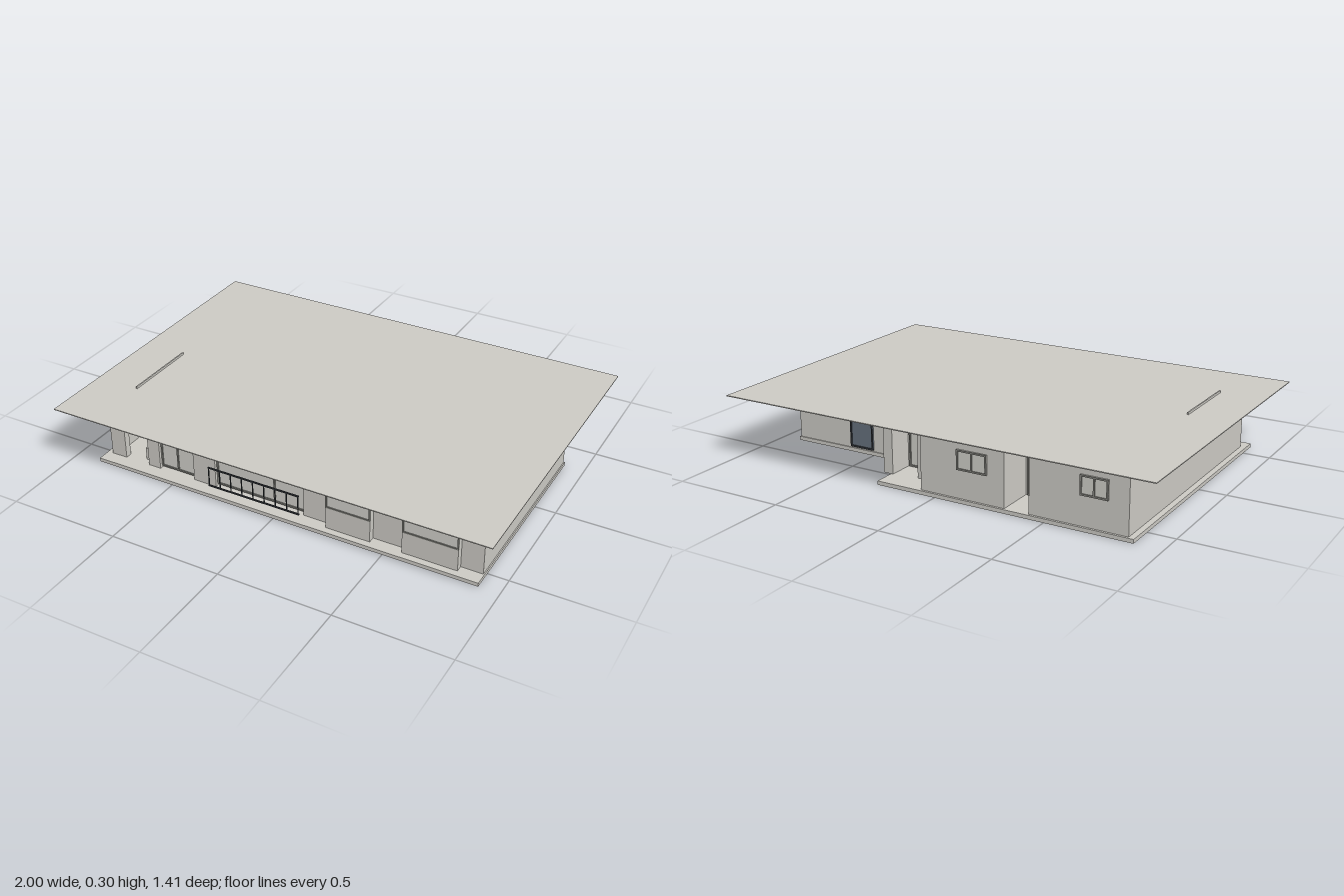
import * as THREE from 'three';

const mat = (name, color) => {
  const m = new THREE.MeshStandardMaterial({ color });
  m.name = name;
  return m;
};

export function createModel() {
  const plaster = mat('plaster', 0xcccac4);
  const pane = mat('pane', 0xd0cfc9);
  const frameGrey = mat('frame grey', 0x85857f);
  const darkGlass = mat('dark glass', 0x66707c);
  const darkMetal = mat('dark metal', 0x34383d);

  const house = new THREE.Group();
  house.name = 'house';
  const FLOOR = 0.017, TOP = 0.29;

  // Box given by its limits on each axis
  function block(name, m, x0, x1, y0, y1, z0, z1, parent = house) {
    const mesh = new THREE.Mesh(new THREE.BoxGeometry(x1 - x0, y1 - y0, z1 - z0), m);
    mesh.position.set((x0 + x1) / 2, (y0 + y1) / 2, (z0 + z1) / 2);
    mesh.name = name;
    parent.add(mesh);
  }
  const wall = (name, x0, x1, z0, z1, y0 = FLOOR, y1 = TOP) =>
    block(name, plaster, x0, x1, y0, y1, z0, z1);

  // Glazed panel facing along z, with a frame and optional mullions
  function glazing(name, x0, x1, y0, y1, z, dir, glassMat, frameMat, mullions = [], t = 0.007) {
    const g = new THREE.Group();
    g.name = name;
    house.add(g);
    const layer = (n, m, a, b, c, d, depth) =>
      block(n, m, a, b, c, d, Math.min(z, z + dir * depth), Math.max(z, z + dir * depth), g);
    layer('glass', glassMat, x0, x1, y0, y1, 0.004);
    layer('sill', frameMat, x0, x1, y0, y0 + t, 0.009);
    layer('head', frameMat, x0, x1, y1 - t, y1, 0.009);
    for (const x of [x0, x1 - t, ...mullions.map((u) => u - t / 2)])
      layer('upright', frameMat, x, x + t, y0, y1, 0.009);
  }

  // Floor slab with a notch at the back left corner (shape y = -z)
  const outline = [[-0.88, -0.59], [0.91, -0.59], [0.91, 0.35], [0.28, 0.35], [0.28, 0.62], [-0.88, 0.62]];
  const slabGeo = new THREE.ExtrudeGeometry(
    new THREE.Shape(outline.map(([x, y]) => new THREE.Vector2(x, y))),
    { depth: FLOOR, bevelEnabled: false });
  slabGeo.rotateX(-Math.PI / 2);
  const slab = new THREE.Mesh(slabGeo, plaster);
  slab.name = 'floorSlab';
  house.add(slab);

  // Flat roof with a narrow upstand
  block('roof', plaster, -1, 1, 0.289, 0.293, -0.705, 0.705);
  block('roofUpstand', plaster, -0.798, -0.792, 0.29, 0.303, 0.05, 0.4);

  // Side walls
  wall('leftSideWall', 0.88, 0.905, -0.345, 0.53);
  wall('rightSideWall', -0.855, -0.83, -0.61, 0.53);

  // Front wall piers between the openings
  for (const [x0, x1] of [[-0.83, -0.78], [-0.66, -0.6], [-0.425, -0.315], [0.11, 0.23], [0.43, 0.57], [0.81, 0.88]])
    wall('frontPier', x0, x1, 0.5, 0.53);

  // Shallow window bays: panel below, glass above
  for (const [x0, x1] of [[0.23, 0.43], [0.57, 0.81]]) {
    wall('bayPanel', x0, x1, 0.5, 0.56, FLOOR, 0.115);
    wall('bayHead', x0, x1, 0.5, 0.56, 0.28, TOP);
    block('bayGlassBox', pane, x0, x1, 0.115, 0.28, 0.5, 0.552);
    glazing('bayWindow', x0, x1, 0.115, 0.28, 0.552, 1, pane, frameGrey, [], 0.006);
  }

  // Living room glazing and double door
  for (const [name, x0, x1, mid] of [['livingWindow', -0.315, 0.11, [-0.035]], ['frontDoubleDoor', -0.6, -0.425, [-0.515]]]) {
    glazing(name, x0, x1, 0.024, 0.28, 0.508, 1, pane, frameGrey, mid);
    wall('openingHead', x0, x1, 0.5, 0.53, 0.28, TOP);
  }

  // Recessed front porch
  wall('porchBackWall', -0.83, -0.62, 0.28, 0.3);
  wall('porchSideWall', -0.66, -0.64, 0.3, 0.5);
  wall('porchPlinth', -0.695, -0.66, 0.44, 0.5, FLOOR, 0.075);
  glazing('porchWindow', -0.8, -0.7, 0.08, 0.26, 0.3, 1, pane, frameGrey);

  // Balcony railing
  const railing = new THREE.Group();
  railing.name = 'railing';
  house.add(railing);
  for (const y of [0.05, 0.138])
    block('rail', darkMetal, -0.32, 0.115, y - 0.003, y + 0.003, 0.571, 0.577, railing);
  for (let i = 0; i < 9; i++) {
    const x = -0.317 + i * 0.0535;
    block('post', darkMetal, x - 0.002, x + 0.002, 0.05, 0.138, 0.572, 0.576, railing);
  }

  // Back walls, stepping around the entrance
  const back = [
    [0.35, 0.88, -0.345, -0.32],
    [0.27, 0.355, -0.39, -0.32],
    [0.27, 0.315, -0.525, -0.39],
    [0.135, 0.27, -0.41, -0.385],
    [0.135, 0.155, -0.51, -0.41],
    [0.05, 0.155, -0.51, -0.485],
    [0.045, 0.07, -0.61, -0.485],
    [-0.32, 0.05, -0.61, -0.585],
    [-0.32, -0.295, -0.585, -0.4],
    [-0.43, -0.32, -0.44, -0.415],
    [-0.455, -0.43, -0.585, -0.4],
    [-0.83, -0.43, -0.61, -0.585],
  ];
  for (const [x0, x1, z0, z1] of back) wall('backWall', x0, x1, z0, z1);

  // Back doors and windows
  glazing('backGlassDoor', 0.5, 0.62, 0.024, 0.28, -0.345, -1, darkGlass, darkMetal);
  glazing('entranceDoor', 0.165, 0.26, 0.02, 0.26, -0.41, -1, pane, frameGrey);
  glazing('recessedDoor', -0.42, -0.33, 0.02, 0.26, -0.44, -1, pane, frameGrey);
  glazing('backWindow', -0.243, -0.105, 0.14, 0.225, -0.61, -1, pane, frameGrey, [-0.174]);
  glazing('backWindow', -0.77, -0.652, 0.145, 0.228, -0.61, -1, pane, frameGrey, [-0.711]);

  return house;
}
